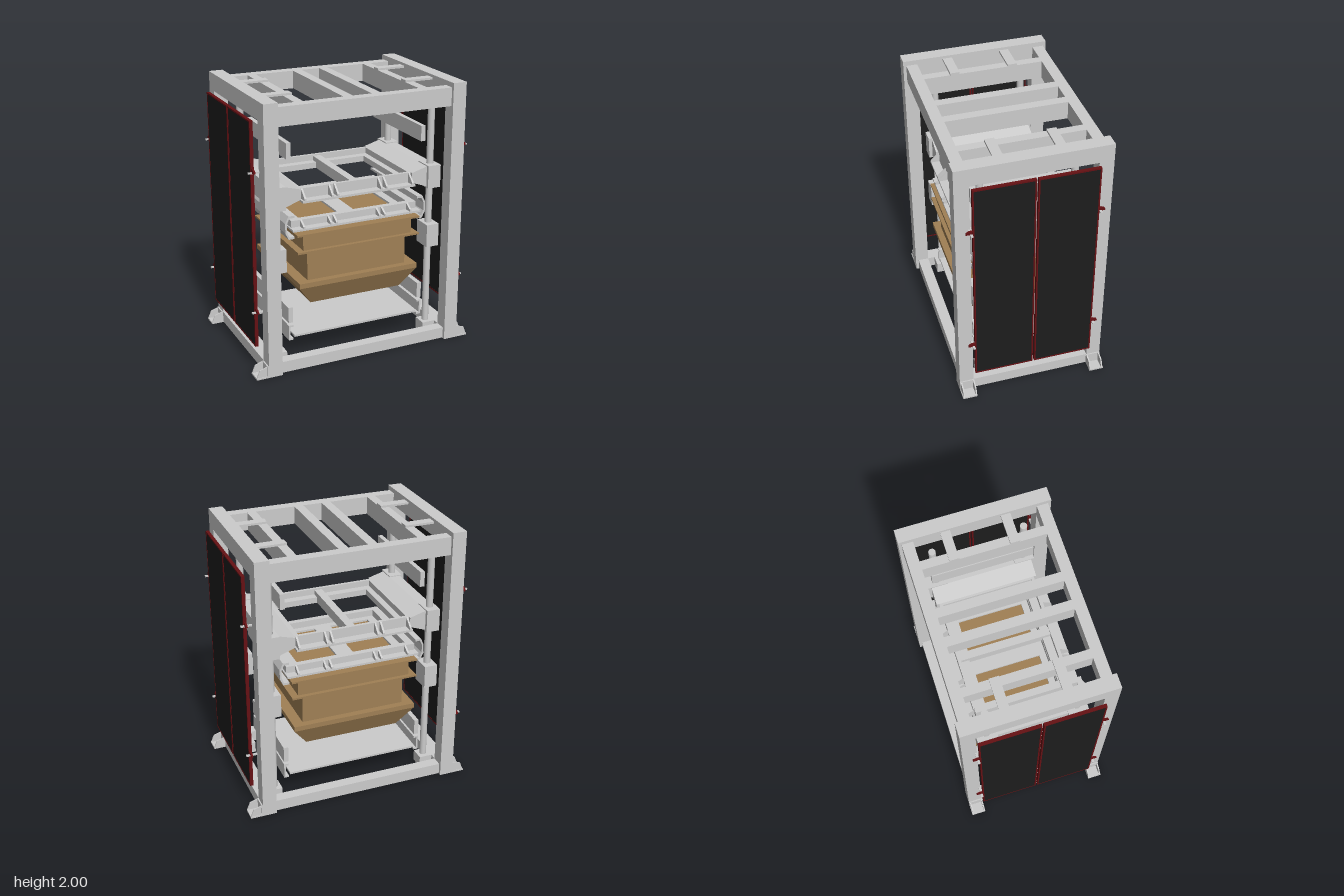
import * as THREE from 'three';

const mat = (color, side = THREE.FrontSide) => new THREE.MeshStandardMaterial({ color, side });
const grey = mat(0xcccccc), brown = mat(0xa08055), red = mat(0x661114), black = mat(0x1c1c1c);

export function createModel() {
  const model = new THREE.Group();

  const add = (name, geo, material = grey) => {
    const m = new THREE.Mesh(geo, material);
    m.name = name;
    model.add(m);
    return m;
  };
  // Box given by its extents
  const box = (name, x0, x1, y0, y1, z0, z1, material = grey) => {
    const g = new THREE.BoxGeometry(Math.abs(x1 - x0), y1 - y0, Math.abs(z1 - z0));
    g.translate((x0 + x1) / 2, (y0 + y1) / 2, (z0 + z1) / 2);
    return add(name, g, material);
  };
  // Four-sided block whose bottom and top half-sizes differ
  const taper = (name, y0, w0, d0, y1, w1, d1, material) => {
    const g = new THREE.BoxGeometry(2, 2, 2).toNonIndexed();
    const p = g.attributes.position;
    for (let i = 0; i < p.count; i++) {
      const up = p.getY(i) > 0;
      p.setXYZ(i, p.getX(i) * (up ? w1 : w0), up ? y1 : y0, p.getZ(i) * (up ? d1 : d0));
    }
    g.computeVertexNormals();
    return add(name, g, material);
  };
  // Front-view profile, extruded along z; s = -1 mirrors it
  const profile = (name, pts, z0, z1, s = 1) => {
    const shape = new THREE.Shape(pts.map(([x, y]) => new THREE.Vector2(s * x, y)));
    const g = new THREE.ExtrudeGeometry(shape, { depth: z1 - z0, bevelEnabled: false });
    g.translate(0, 0, z0);
    return add(name, g);
  };
  // Flat plate in the xz plane with rectangular holes [x0, x1, halfDepth]
  const plate = (name, w, d, y0, y1, holes) => {
    const rect = (P, x0, x1, h) => new P([[x0, -h], [x1, -h], [x1, h], [x0, h]].map(a => new THREE.Vector2(...a)));
    const shape = rect(THREE.Shape, -w, w, d);
    shape.holes = holes.map(h => rect(THREE.Path, ...h));
    const g = new THREE.ExtrudeGeometry(shape, { depth: y1 - y0, bevelEnabled: false });
    g.rotateX(-Math.PI / 2).translate(0, y0, 0);
    return add(name, g);
  };
  // Triangular stiffener standing on a ledge, z from wall (zi) to edge (zo)
  const rib = (name, x, y0, y1, zi, zo, s) => {
    const shape = new THREE.Shape([[zi, y0], [zo, y0], [zo, y0 + 0.015], [zi, y1]].map(([z, y]) => new THREE.Vector2(-s * z, y)));
    const g = new THREE.ExtrudeGeometry(shape, { depth: 0.014, bevelEnabled: false });
    g.translate(0, 0, -0.007).rotateY(Math.PI / 2).translate(x, 0, 0);
    add(name, g);
  };

  // Main frame
  for (const s of [-1, 1]) {
    box('topSideBeam', s * 0.665, s * 0.77, 1.87, 2, -0.445, 0.445);
    box('bottomSideBeam', s * 0.665, s * 0.77, 0.005, 0.09, -0.445, 0.445);
    box('topCrossBeam', -0.665, 0.665, 1.83, 1.965, s * 0.445, s * 0.527);
    box('bottomCrossBeam', -0.665, 0.665, 0.005, 0.09, s * 0.445, s * 0.527);
    box('outerRoofBeam', s * 0.442, s * 0.508, 1.83, 1.965, -0.445, 0.445);
    box('innerRoofBeam', s * 0.073, s * 0.143, 1.83, 1.965, -0.445, 0.445);

    for (const t of [-1, 1]) {
      box('post', s * 0.665, s * 0.77, 0, 2, t * 0.445, t * 0.55);
      box('roofStrap', s * 0.442, s * 0.667, 1.965, 1.98, t * 0.182, t * 0.252);

      // Open foot: sloping cheeks on a sole plate
      const cheek = [[0.77, 0.005], [0.863, 0.005], [0.838, 0.068], [0.77, 0.09]];
      for (const z of [0.447, 0.54]) {
        const zc = t * z;
        profile('footCheek', cheek, zc - 0.005, zc + 0.005, s);
      }
      box('footSole', s * 0.77, s * 0.863, 0, 0.012, t * 0.442, t * 0.55);
      box('footBack', s * 0.77, s * 0.78, 0, 0.09, t * 0.442, t * 0.55);

      // Guide column with its base and sliding blocks
      const col = new THREE.CylinderGeometry(0.026, 0.026, 1.76, 24);
      add('guideColumn', col).position.set(s * 0.615, 0.95, t * 0.335);
      box('columnBase', s * 0.565, s * 0.665, 0.005, 0.09, t * 0.28, t * 0.39);
      box('lowerSlideBlock', s * 0.565, s * 0.665, 0.725, 0.9, t * 0.26, t * 0.41);
      box('upperSlideBlock', s * 0.563, s * 0.665, 1.19, 1.362, t * 0.26, t * 0.41);
    }

    // Tapered wing joining the slide blocks to the upper platen
    profile('platenWing', [[0.65, 1.2], [0.565, 1.2], [0.44, 1.245], [0.44, 1.32], [0.565, 1.355], [0.65, 1.355]], -0.385, 0.385, s);

    // Rails along the depth
    box('upperRail', s * 0.51, s * 0.545, 1.55, 1.665, -0.38, 0.38);
    box('lowerRail', s * 0.51, s * 0.545, 0.31, 0.43, -0.38, 0.38);
    profile('trayChannel', [[0.51, 0.17], [0.545, 0.17], [0.545, 0.288], [0.51, 0.288], [0.51, 0.274], [0.532, 0.274], [0.532, 0.184], [0.51, 0.184]], -0.38, 0.38, s);
    profile('clampChannel', [[0.49, 0.957], [0.535, 0.957], [0.56, 1.01], [0.56, 1.08], [0.535, 1.132], [0.49, 1.132], [0.49, 1.115],
      [0.528, 1.115], [0.546, 1.075], [0.546, 1.015], [0.528, 0.974], [0.49, 0.974]], -0.38, 0.38, s);
  }
  box('bottomTray', -0.5, 0.5, 0.19, 0.205, -0.38, 0.38);

  // Upper platen: ledge with two windows, raised rim, centre bar and ribs
  plate('upperPlatenLedge', 0.445, 0.43, 1.23, 1.246, [[-0.375, -0.03, 0.28], [0.03, 0.375, 0.28]]);
  plate('upperPlatenRim', 0.445, 0.365, 1.246, 1.32, [[-0.423, 0.423, 0.34]]);
  plate('upperPlatenStep', 0.423, 0.34, 1.246, 1.275, [[-0.375, -0.03, 0.28], [0.03, 0.375, 0.28]]);
  box('upperPlatenBar', -0.03, 0.03, 1.275, 1.31, -0.34, 0.34);

  // Lower clamp frame, built the same way
  plate('clampLedge', 0.51, 0.405, 1.015, 1.03, [[-0.375, -0.065, 0.25], [0.065, 0.375, 0.25]]);
  plate('clampRim', 0.5, 0.345, 1.03, 1.08, [[-0.44, 0.44, 0.3]]);
  for (const s of [-1, 1]) {
    for (const x of [-0.425, -0.215, -0.172, 0.172, 0.215, 0.425]) {
      rib('upperPlatenRib', x, 1.246, 1.32, 0.365, 0.43, s);
      rib('clampRib', x, 1.03, 1.08, 0.345, 0.405, s);
    }
  }

  // Mould: stacked brown blocks with flared lips
  taper('mouldTopLip', 0.982, 0.488, 0.43, 0.995, 0.488, 0.43, brown);
  taper('mouldUpperBlock', 0.862, 0.433, 0.4, 0.984, 0.433, 0.4, brown);
  taper('mouldMiddleLip', 0.85, 0.485, 0.43, 0.864, 0.485, 0.43, brown);
  taper('mouldLipUnderside', 0.834, 0.4, 0.385, 0.85, 0.485, 0.43, brown);
  taper('mouldLowerBlock', 0.61, 0.395, 0.38, 0.84, 0.395, 0.38, brown);
  taper('mouldBaseBand', 0.585, 0.475, 0.43, 0.622, 0.475, 0.43, brown);
  taper('mouldBase', 0.432, 0.362, 0.36, 0.585, 0.475, 0.43, brown);

  // Side doors: two dark leaves with thin red borders, hung on hooks
  for (const s of [-1, 1]) {
    for (const t of [-1, 1]) {
      const a = t * 0.006, b = t * 0.442, e = t * 0.011;
      const x0 = s * 0.804, x1 = s * 0.828;
      box('doorLeaf', s * 0.8055, s * 0.8265, 0.221, 1.859, a + e, b - e, black);
      box('doorBorderBottom', x0, x1, 0.21, 0.221, a, b, red);
      box('doorBorderTop', x0, x1, 1.859, 1.87, a, b, red);
      box('doorBorderInner', x0, x1, 0.221, 1.859, a, a + e, red);
      box('doorBorderOuter', x0, x1, 0.221, 1.859, b - e, b, red);
      for (const y of [0.49, 1.52]) {
        box('doorPin', s * 0.77, s * 0.85, y - 0.014, y - 0.004, t * 0.443, t * 0.46);
        const hook = new THREE.Shape([[0.44, -0.01], [0.465, -0.01], [0.488, -0.008], [0.484, 0.006], [0.46, 0.017], [0.44, 0.017]]
          .map(([z, dy]) => new THREE.Vector2(-t * z, y + dy)));
        const g = new THREE.ExtrudeGeometry(hook, { depth: 0.014, bevelEnabled: false });
        g.translate(0, 0, -0.007).rotateY(Math.PI / 2).translate(s * 0.816, 0, 0);
        add('doorHook', g, red);
      }
    }
  }
  return model;
}
